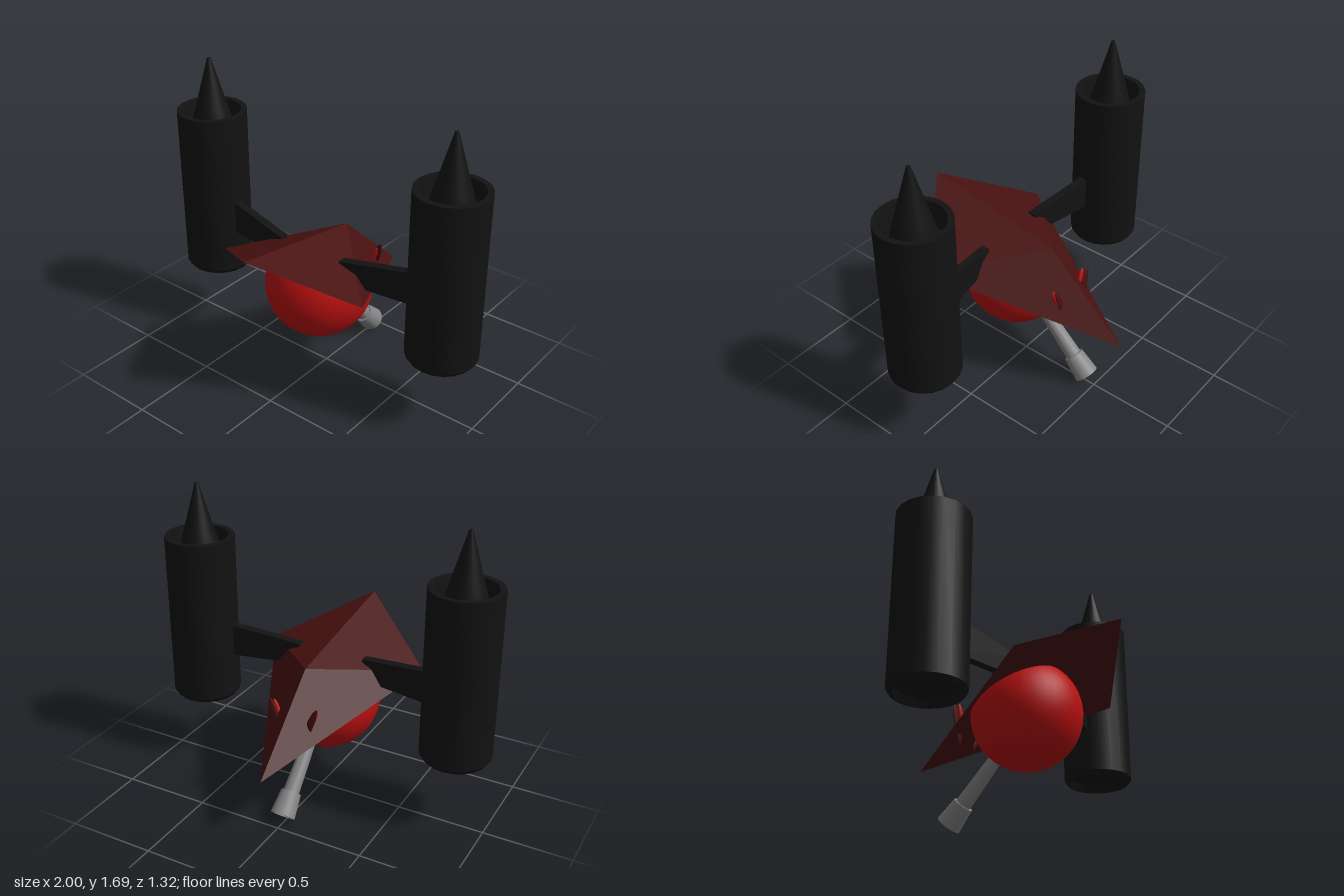
import * as THREE from 'three';
import { toCreasedNormals } from 'three/addons/utils/BufferGeometryUtils.js';

const mat = (color) => new THREE.MeshStandardMaterial({ color, side: THREE.DoubleSide });
const red = mat(0xb81010);
const maroon = mat(0x481010);
const black = mat(0x121212);
const steel = mat(0x848484);

function addMesh(parent, name, geometry, material) {
  const mesh = new THREE.Mesh(geometry, material);
  mesh.name = name;
  parent.add(mesh);
  return mesh;
}

const lathe = (points, sides) => toCreasedNormals(
  new THREE.LatheGeometry(points.map(([r, y]) => new THREE.Vector2(r, y)), sides), 0.6);

// Height of the canopy's roof at a point: two sloping planes on each side
const roofY = (x, z) => Math.min(
  0.875 + 0.167 * z - 0.41 * Math.abs(x),
  0.4 + 0.927 * (z + 0.66) - 1.186 * Math.abs(x));

// Ball body, trimmed where it sits inside the canopy
function bodyGeometry() {
  const g = new THREE.SphereGeometry(0.302, 40, 28);
  g.translate(0, 0.576, 0.065);
  const p = g.attributes.position;
  for (let i = 0; i < p.count; i++) {
    p.setY(i, Math.min(p.getY(i), 0.79, roofY(p.getX(i), p.getZ(i)) - 0.03));
  }
  return toCreasedNormals(g, 0.5);
}

// Kite-shaped canopy with a raised ridge
function canopyGeometry() {
  const v = {
    F: [0, 0.985, 0.66], B: [0, 0.4, -0.66], L: [0.48, 0.73, 0.31],
    R: [-0.48, 0.73, 0.31], P: [0, 0.845, -0.18], Q: [0, 0.795, 0.25],
  };
  const faces = ['FLP', 'LBP', 'FPR', 'RPB', 'FQL', 'LQB', 'FRQ', 'RBQ'];
  const g = new THREE.BufferGeometry();
  const corners = faces.flatMap((f) => [...f].flatMap((c) => v[c]));
  g.setAttribute('position', new THREE.Float32BufferAttribute(corners, 3));
  g.computeVertexNormals();
  return g;
}

// Tapered arm, swept back toward the engine
function armGeometry(side) {
  const s = new THREE.Shape([[0.2, 0.7], [0.65, 0.69], [0.65, 0.885], [0.2, 0.825]]
    .map(([x, y]) => new THREE.Vector2(x * side, y)));
  const g = new THREE.ExtrudeGeometry(s, { depth: 0.05, bevelEnabled: false });
  const p = g.attributes.position;
  for (let i = 0; i < p.count; i++) {
    p.setZ(i, p.getZ(i) + 0.1 - 0.16 * (Math.abs(p.getX(i)) - 0.2));
  }
  g.computeVertexNormals();
  return g;
}

// Upright engine: hollow-topped barrel with a spike inside
function addEngine(parent, side) {
  const engine = new THREE.Group();
  engine.name = side > 0 ? 'leftEngine' : 'rightEngine';
  engine.position.set(0.8 * side, 0, 0.035);
  addMesh(engine, 'engineBarrel', lathe([
    [0, 0.46], [0.15, 0.46], [0.17, 0.42], [0.18, 0.42], [0.198, 0.445],
    [0.198, 1.4], [0.165, 1.4], [0.15, 1.27], [0, 1.27]], 20), black);
  addMesh(engine, 'engineSpike', lathe([
    [0.132, 1.27], [0.095, 1.4], [0.01, 1.7], [0, 1.7]], 20), black);
  parent.add(engine);
}

// Slit eye lying on a rear roof face: dark lid with a red lens
function addEye(parent, side) {
  const eye = new THREE.Group();
  eye.name = side > 0 ? 'leftEye' : 'rightEye';
  const normal = new THREE.Vector3(1.186 * side, 1, -0.927).normalize();
  const along = new THREE.Vector3(0.02 * side, 0.161, 0.2).normalize();
  const across = new THREE.Vector3().crossVectors(normal, along);
  const turn = new THREE.Matrix4().makeBasis(across, along, normal);
  const blob = (name, x, z, size, material) => {
    const m = addMesh(eye, name, new THREE.SphereGeometry(1, 16, 10), material);
    m.scale.set(...size);
    m.quaternion.setFromRotationMatrix(turn);
    m.position.set(x * side, roofY(x, z), z);
  };
  blob('eyeLid', 0.103, -0.325, [0.024, 0.125, 0.008], maroon);
  blob('eyeLens', 0.107, -0.295, [0.019, 0.08, 0.012], red);
  parent.add(eye);
}

export function createModel() {
  const model = new THREE.Group();
  addMesh(model, 'body', bodyGeometry(), red);
  addMesh(model, 'canopy', canopyGeometry(), maroon);

  for (const side of [1, -1]) {
    addEngine(model, side);
    addMesh(model, side > 0 ? 'leftArm' : 'rightArm', armGeometry(side), black);
    addEye(model, side);
  }

  // Tail nozzle: slim pipe ending in a hollow flared muzzle
  const nozzle = addMesh(model, 'tailNozzle', lathe([
    [0.035, 0.25], [0.045, 0.59], [0.057, 0.59], [0.07, 0.728],
    [0.056, 0.728], [0.048, 0.64], [0, 0.64]], 24), steel);
  nozzle.position.set(0, 0.576, 0.065);
  nozzle.quaternion.setFromUnitVectors(
    new THREE.Vector3(0, 1, 0), new THREE.Vector3(0, -0.713, -0.701).normalize());

  return model;
}
